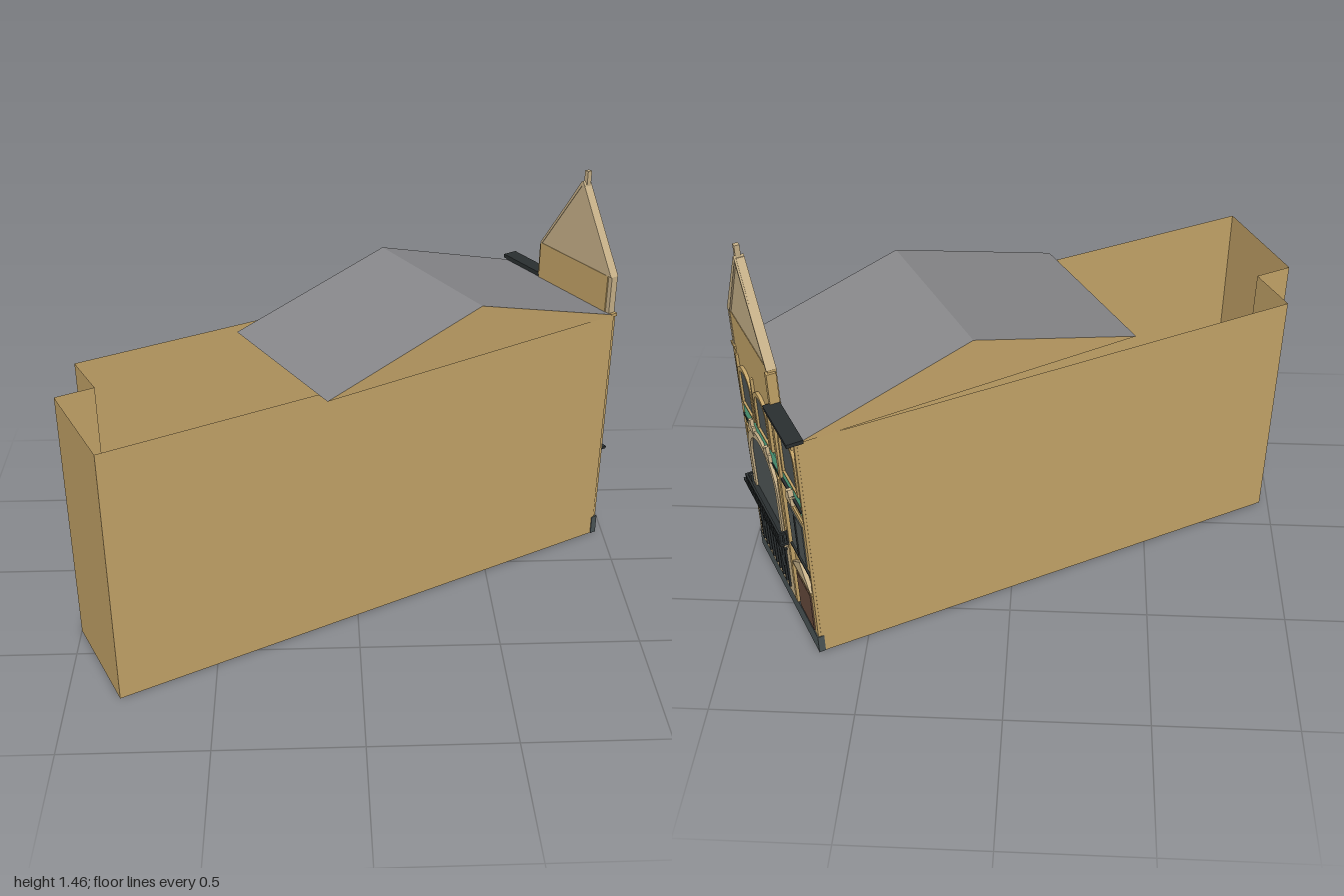
import * as THREE from 'three';

const mat = (name, color, side = THREE.FrontSide) => {
  const m = new THREE.MeshStandardMaterial({ color, side });
  m.name = name;
  return m;
};

export function createModel() {
  const brick = mat('ochre wall', 0xc4a468);
  const shell = mat('ochre wall', 0xc4a468, THREE.DoubleSide);
  const stone = mat('pale stone', 0xc8b28a);
  const slate = mat('grey roof', 0x88888b, THREE.DoubleSide);
  const green = mat('green tile', 0x58b28c);
  const plinthMat = mat('dark plinth', 0x4c5557);
  const glass = mat('window glass', 0x515959);
  const iron = mat('black iron', 0x2a2f30);
  const wood = mat('brown door', 0x664a3c);

  const model = new THREE.Group();
  const add = (parent, name, geo, material) => {
    const m = new THREE.Mesh(geo, material);
    m.name = name;
    parent.add(m);
    return m;
  };
  // Flat polygons from fans of 3D points
  const polys = (list) => {
    const pos = [];
    for (const p of list)
      for (let i = 1; i < p.length - 1; i++) pos.push(...p[0], ...p[i], ...p[i + 1]);
    const g = new THREE.BufferGeometry();
    g.setAttribute('position', new THREE.Float32BufferAttribute(pos, 3));
    g.computeVertexNormals();
    return g;
  };

  // Open-topped outer walls with a stepped rear end
  const H = 0.96;
  const plan = [[0.96, -0.19], [0.652, -0.724], [-0.968, 0.128], [-0.876, 0.305], [-1, 0.37], [-0.82, 0.74]];
  add(model, 'outerWalls', polys(plan.map(([x, z], i) => {
    const [x2, z2] = plan[(i + 1) % plan.length];
    return [[x, 0, z], [x2, 0, z2], [x2, H, z2], [x, H, z]];
  })), shell);

  // Gabled roof, ridge parallel to the street front
  const fl = [0.966, H, -0.195], fr = [0.65, H, -0.73], bl = [-0.105, H, 0.43], br = [-0.42, H, -0.1];
  const rl = [0.43, 1.15, 0.12], rr = [0.118, 1.15, -0.415];
  add(model, 'roof', polys([[fl, fr, rr, rl], [rl, rr, br, bl]]), slate);
  add(model, 'gableEnds', polys([[fl, rl, bl], [fr, br, rr]]), shell);

  // Street front: local x runs to the viewer's right, z points outward
  const front = new THREE.Group();
  front.name = 'streetFront';
  front.position.set(0.96, 0, -0.19);
  front.rotation.y = THREE.MathUtils.degToRad(120);
  model.add(front);

  const box = (name, x0, x1, y0, y1, z0, z1, material) => {
    const m = add(front, name, new THREE.BoxGeometry(x1 - x0, y1 - y0, z1 - z0), material);
    m.position.set((x0 + x1) / 2, (y0 + y1) / 2, (z0 + z1) / 2);
    return m;
  };
  const slab = (name, shape, z0, z1, material) => {
    const g = new THREE.ExtrudeGeometry(shape, { depth: z1 - z0, bevelEnabled: false, curveSegments: 10 });
    return add(front, name, g.translate(0, 0, z0), material);
  };
  const poly = (pts) => new THREE.Shape(pts.map(([x, y]) => new THREE.Vector2(x, y)));
  const arch = (cx, r, y0, spring) => {
    const s = new THREE.Shape();
    s.moveTo(cx - r, y0);
    s.lineTo(cx + r, y0);
    s.lineTo(cx + r, spring);
    s.absarc(cx, spring, r, 0, Math.PI, false);
    s.closePath();
    return s;
  };
  const archWindow = (name, cx, r, y0, spring, border, z, frameMat) => {
    slab(name + 'Glass', arch(cx, r, y0, spring), z, z + 0.004, glass);
    const f = arch(cx, r + border, y0 - border * 0.4, spring);
    f.holes.push(arch(cx, r, y0, spring));
    slab(name + 'Frame', f, z, z + 0.012, frameMat);
  };

  // Wall faces, plinth and pilasters
  const B = 0.01; // face of the tower bay
  box('bayWall', 0.03, 0.415, 0.07, 1.11, -0.02, B, brick);
  box('sideWall', 0.415, 0.613, 0.07, H, -0.02, 0.003, brick);
  box('plinth', -0.003, 0.618, 0, 0.075, -0.01, 0.014, plinthMat);
  box('leftPilaster', 0.004, 0.036, 0.075, H, -0.02, 0.012, brick);
  box('leftPinnacle', 0.012, 0.03, H, 1.11, -0.015, 0.012, stone);
  box('rightPilaster', 0.404, 0.424, 0.075, 1.1, -0.015, 0.018, brick);
  box('pilasterCap', 0.0, 0.042, 0.955, 0.967, -0.01, 0.016, brick);
  box('endPilaster', 0.603, 0.615, 0.075, H, -0.01, 0.01, brick);

  // Pointed tower gable with raised copings and finial
  slab('towerGable', poly([[0.028, 1.11], [0.415, 1.11], [0.215, 1.415], [0.2, 1.415]]), -0.018, 0.008, stone);
  slab('gableCopingLeft', poly([[0.012, 1.11], [0.04, 1.11], [0.212, 1.405], [0.204, 1.42]]), -0.02, 0.014, stone);
  slab('gableCopingRight', poly([[0.408, 1.11], [0.418, 1.11], [0.208, 1.42], [0.2, 1.415]]), -0.02, 0.014, stone);
  box('finial', 0.193, 0.21, 1.4, 1.458, -0.01, 0.008, stone);

  // Top floor windows
  for (const cx of [0.125, 0.288]) archWindow('topWindow', cx, 0.055, 0.75, 0.855, 0.016, B, brick);
  archWindow('sideTopWindow', 0.521, 0.065, 0.725, 0.847, 0.014, 0.003, brick);
  for (const [x0, x1] of [[0.045, 0.055], [0.202, 0.212], [0.36, 0.37]])
    box('windowPier', x0, x1, 0.74, 0.94, B, B + 0.01, brick);

  // Green bands with string course and carved ornaments
  box('bayGreenBand', 0.037, 0.388, 0.645, 0.73, B, B + 0.004, green);
  box('sideGreenBand', 0.424, 0.604, 0.63, 0.705, 0.003, 0.008, green);
  box('stringCourse', 0.026, 0.613, 0.661, 0.669, 0, 0.017, iron);
  const ornament = (x, y) => {
    slab('ornament', poly([[x - 0.028, y], [x + 0.028, y], [x + 0.024, y + 0.03], [x + 0.012, y + 0.028],
      [x + 0.006, y + 0.055], [x - 0.006, y + 0.04], [x - 0.016, y + 0.045]]), 0.006, 0.026, stone);
  };
  ornament(0.14, 0.668);
  ornament(0.305, 0.668);
  ornament(0.516, 0.64);

  // Great arched window with side posts
  archWindow('greatWindow', 0.219, 0.131, 0.37, 0.534, 0.028, B + 0.002, stone);
  for (const x of [0.046, 0.374]) box('greatWindowPost', x, x + 0.014, 0.37, 0.635, B, B + 0.008, brick);

  // Side window, pediment and door
  box('sideWindowFrame', 0.438, 0.604, 0.385, 0.6, 0.002, 0.01, brick);
  box('sideWindowGlass', 0.452, 0.59, 0.395, 0.58, 0.008, 0.014, glass);
  box('sideWindowMullion', 0.518, 0.524, 0.395, 0.58, 0.012, 0.018, iron);
  slab('doorPediment', poly([[0.43, 0.288], [0.608, 0.288], [0.519, 0.36]]), 0.002, 0.018, stone);
  box('doorLintel', 0.428, 0.61, 0.272, 0.288, 0.002, 0.016, brick);
  box('doorFrame', 0.438, 0.604, 0.075, 0.272, 0.002, 0.01, brick);
  box('door', 0.452, 0.59, 0.088, 0.258, 0.008, 0.015, wood);

  // Side cornice on small brackets
  box('cornice', 0.415, 0.64, 0.968, 0.982, -0.015, 0.042, iron);
  box('corniceBase', 0.418, 0.625, 0.955, 0.968, -0.015, 0.03, iron);
  for (const x of [0.44, 0.458, 0.512, 0.53, 0.582, 0.6])
    box('corniceBracket', x, x + 0.01, 0.93, 0.955, 0, 0.02, brick);

  // Ground floor panel and iron gate
  box('groundPanel', 0.028, 0.408, 0.07, 0.362, B, B + 0.006, stone);
  box('gateRail', 0.055, 0.378, 0.296, 0.303, B, B + 0.016, iron);
  for (let i = 0; i < 9; i++) {
    const x = 0.075 + i * 0.0355;
    box('gateBar', x - 0.0045, x + 0.0045, 0.1, 0.298, B + 0.004, B + 0.013, iron);
  }
  const bow = new THREE.CatmullRomCurve3([[0.103, 0.185], [0.122, 0.235], [0.17, 0.28], [0.219, 0.292],
    [0.268, 0.28], [0.316, 0.235], [0.335, 0.185]].map(([x, y]) => new THREE.Vector3(x, y, B + 0.013)));
  add(front, 'gateArch', new THREE.TubeGeometry(bow, 20, 0.005, 5), iron);

  // Balcony on stone brackets with iron railing
  box('balconySlab', 0.024, 0.424, 0.364, 0.374, 0, 0.052, iron);
  box('sideLedge', 0.424, 0.613, 0.366, 0.373, 0, 0.014, iron);
  for (const x of [0.064, 0.224, 0.382]) {
    box('balconyBracket', x - 0.016, x + 0.016, 0.345, 0.364, B, 0.045, stone);
    box('balconyBracketFoot', x - 0.011, x + 0.011, 0.325, 0.345, B, 0.03, stone);
  }
  box('railTop', 0.058, 0.418, 0.412, 0.42, 0.044, 0.052, iron);
  for (let i = 0; i < 19; i++) {
    const x = 0.061 + i * 0.0196;
    box('railBar', x - 0.003, x + 0.003, 0.374, 0.414, 0.045, 0.051, iron);
  }
  for (const x of [0.058, 0.41]) {
    box('railSide', x, x + 0.008, 0.412, 0.42, B, 0.05, iron);
    for (const z of [0.018, 0.032]) box('railSideBar', x + 0.001, x + 0.007, 0.374, 0.414, z, z + 0.006, iron);
  }
  return model;
}
